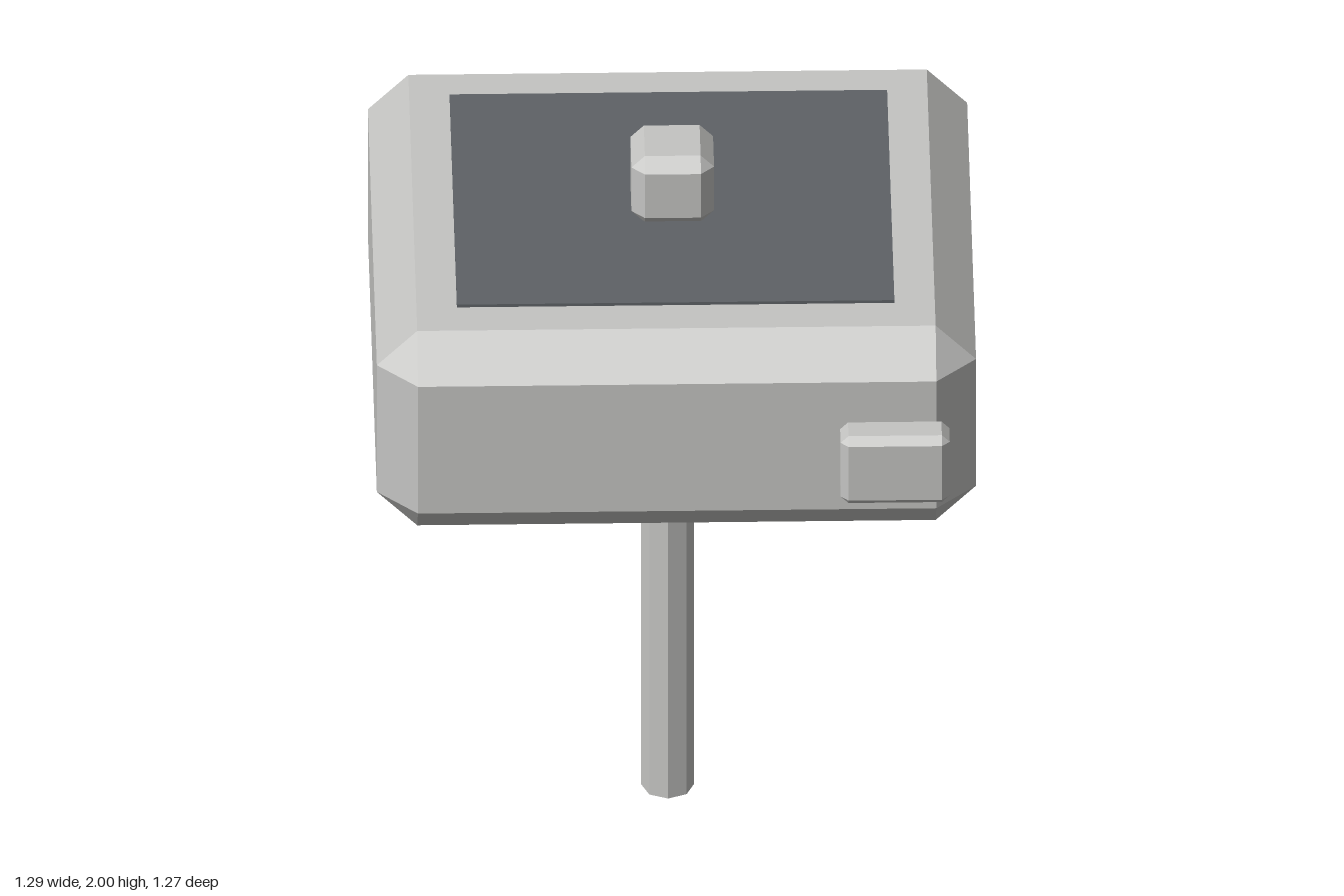
import * as THREE from 'three';
import { ConvexGeometry } from 'three/addons/geometries/ConvexGeometry.js';

// Box with every edge cut at 45 degrees and triangular corners
function chamferedBox(w, h, d, c) {
  const points = [];
  for (const sx of [-1, 1]) for (const sy of [-1, 1]) for (const sz of [-1, 1]) {
    const x = w / 2, y = h / 2, z = d / 2;
    points.push(
      new THREE.Vector3(sx * x, sy * (y - c), sz * (z - c)),
      new THREE.Vector3(sx * (x - c), sy * y, sz * (z - c)),
      new THREE.Vector3(sx * (x - c), sy * (y - c), sz * z)
    );
  }
  return new ConvexGeometry(points);
}

export function createModel() {
  const group = new THREE.Group();
  const lightGrey = new THREE.MeshStandardMaterial({ color: 0xc4c4c2, flatShading: true });
  lightGrey.name = 'light grey';
  const darkGrey = new THREE.MeshStandardMaterial({ color: 0x5e6266, flatShading: true });
  darkGrey.name = 'dark grey';

  const add = (name, geometry, material, x, y, z) => {
    const mesh = new THREE.Mesh(geometry, material);
    mesh.name = name;
    mesh.position.set(x, y, z);
    group.add(mesh);
  };

  // Main housing
  add('housing', chamferedBox(1.29, 0.5, 1.18, 0.087), lightGrey, 0, 1.578, -0.045);
  // Thin dark plate on the top
  add('topPanel', new THREE.BoxGeometry(0.942, 0.008, 0.826), darkGrey, 0, 1.831, -0.046);
  // Small knob above the plate
  add('topKnob', chamferedBox(0.178, 0.17, 0.178, 0.029), lightGrey, 0, 1.915, -0.017);
  // Block on the front, near the left corner
  add('frontBlock', chamferedBox(0.235, 0.172, 0.088, 0.017), lightGrey, 0.468, 1.562, 0.587);
  // Octagonal pole under the back edge
  add('pole', new THREE.CylinderGeometry(0.057, 0.057, 1.328, 8), lightGrey, 0, 0.664, -0.542);

  return group;
}
